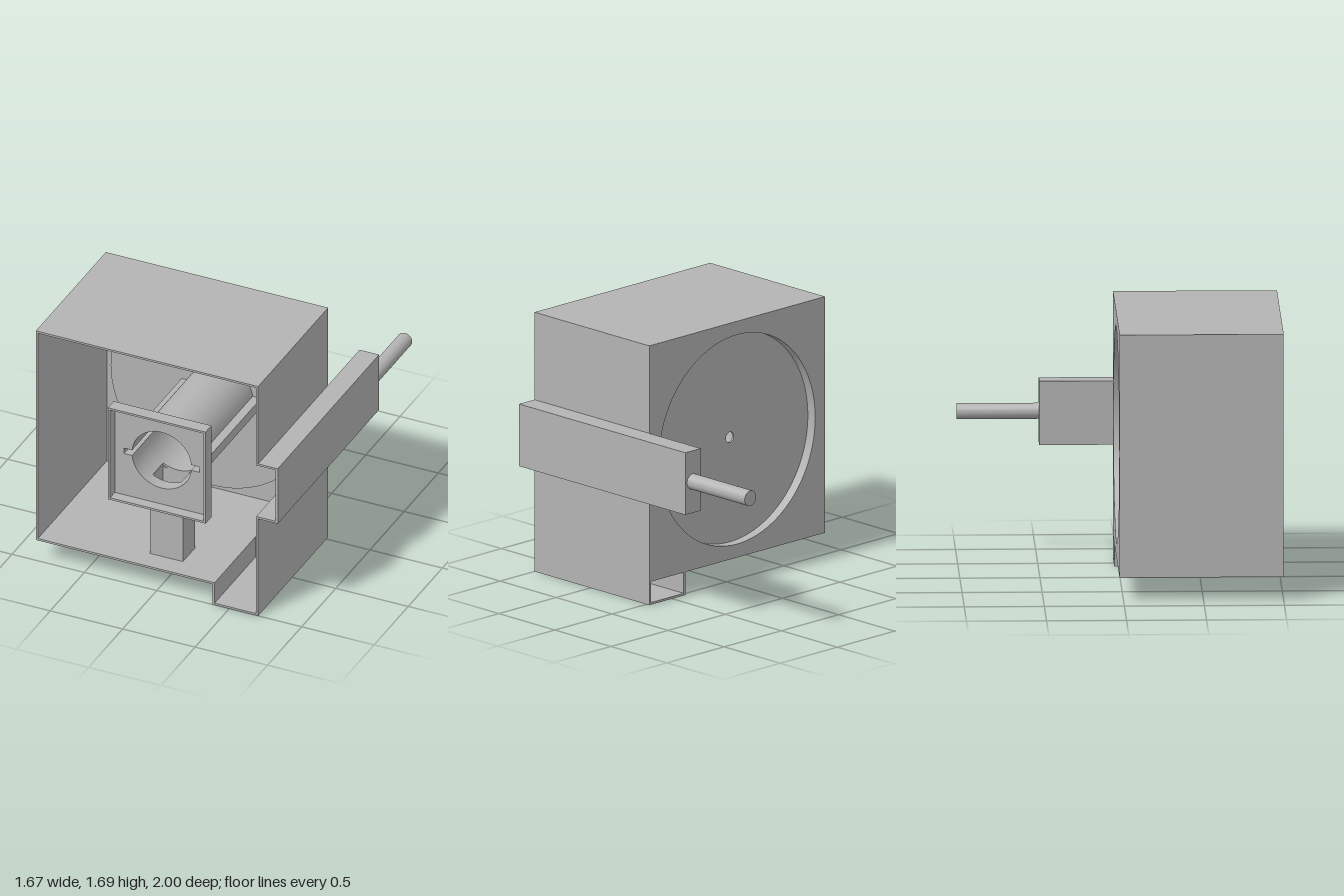
import * as THREE from 'three';
import { toCreasedNormals } from 'three/addons/utils/BufferGeometryUtils.js';

export function createModel() {
  const model = new THREE.Group();
  const grey = new THREE.MeshStandardMaterial({ color: 0xb3b3b3 });
  grey.name = 'plain grey';
  const t = 0.014; // wall thickness
  const back = -0.025, front = 1, cy = 0.92;

  const add = (name, geo) => {
    const mesh = new THREE.Mesh(geo, grey);
    mesh.name = name;
    model.add(mesh);
    return mesh;
  };
  // Extrude a section along z between z0 and z1
  const slab = (name, shape, z0, z1) => {
    const geo = new THREE.ExtrudeGeometry(shape, { depth: z1 - z0, bevelEnabled: false, curveSegments: 48 });
    geo.translate(0, 0, z0);
    return add(name, toCreasedNormals(geo, 0.5));
  };
  const box = (name, x0, x1, y0, y1, z0, z1) => {
    const geo = new THREE.BoxGeometry(x1 - x0, y1 - y0, z1 - z0);
    geo.translate((x0 + x1) / 2, (y0 + y1) / 2, (z0 + z1) / 2);
    return add(name, geo);
  };
  const poly = (pts) => new THREE.Shape(pts.map(([x, y]) => new THREE.Vector2(x, y)));
  const rect = (x0, x1, y0, y1) => poly([[x0, y0], [x1, y0], [x1, y1], [x0, y1]]);
  const circle = (x, y, r) => new THREE.Shape().absarc(x, y, r, 0, Math.PI * 2, false);
  const cut = (shape, hole) => { shape.holes.push(hole); return shape; };

  // Outer casing with the side channel and the corner foot in one section
  slab('casing', poly([
    [0.385, 0], [0.7, 0], [0.7, 0.715], [0.835, 0.715], [0.835, 1.12], [0.7, 1.12], [0.7, 1.69],
    [-0.835, 1.69], [-0.835, 0.15], [-0.835 + t, 0.15], [-0.835 + t, 1.69 - t], [0.7 - t, 1.69 - t],
    [0.7 - t, 1.12 - t], [0.835 - t, 1.12 - t], [0.835 - t, 0.715 + t], [0.7 - t, 0.715 + t],
    [0.7 - t, t], [0.385 + t, t], [0.385 + t, 0.15 + t], [0.385, 0.15 + t],
  ]), back, front);

  // Floor with the square opening beneath the column (section drawn in x and -z)
  const floor = slab('floor', cut(rect(-0.835 + t, 0.385, -front, -back), rect(-0.1, 0.1, -0.846, -0.694)), 0, t);
  floor.rotation.x = -Math.PI / 2;
  floor.position.y = 0.15;

  // Rear part of the foot: roof and partition
  box('footRoof', 0.385 + t, 0.7 - t, 0.15, 0.15 + t, back, 0.4);
  box('footPartition', 0.385 + t, 0.7 - t, t, 0.15, 0.4 - t, 0.4);

  // Back wall, pressed inwards as a large shallow disc
  const dx = -0.067, discZ = 0.04;
  slab('backWall', cut(rect(-0.835 + t, 0.7 - t, 0.15 + t, 1.69 - t), circle(dx, cy, 0.682)), back, back + t);
  slab('recessRim', cut(circle(dx, cy, 0.697), circle(dx, cy, 0.682)), back, discZ);
  slab('recessDisc', cut(circle(dx, cy, 0.697), circle(dx, cy, 0.034)), discZ, discZ + t);

  // Side arm behind the casing, with its rod
  box('armJoint', 0.7 - t, 0.725, 0.715 + t, 1.12 - t, back, back + t);
  slab('arm', cut(rect(0.7, 0.835, 0.715, 1.12), rect(0.725, 0.835 - t, 0.715 + t, 1.12 - t)), -0.485, back);
  slab('armEnd', cut(rect(0.725, 0.835 - t, 0.715 + t, 1.12 - t), circle(0.77, cy, 0.034)), -0.485, -0.485 + t);
  slab('rod', cut(circle(0.77, cy, 0.05), circle(0.77, cy, 0.034)), -0.986, -0.485);
  slab('rodTip', circle(0.77, cy, 0.05), -1, -0.986);

  // Circle with a small key on each side, starting and ending at the bottom
  const keyed = (r, keyX, keyH, gap) => {
    const k = Math.asin(keyH / r), pts = [];
    const arc = (a, b, n) => {
      for (let i = 0; i <= n; i++) {
        const q = a + (b - a) * i / n;
        pts.push([r * Math.cos(q), cy + r * Math.sin(q)]);
      }
    };
    arc(-Math.PI / 2 + gap, -k, 16);
    pts.push([keyX, cy - keyH], [keyX, cy + keyH]);
    arc(k, Math.PI - k, 32);
    pts.push([-keyX, cy + keyH], [-keyX, cy - keyH]);
    arc(Math.PI + k, Math.PI * 1.5 - gap, 16);
    return pts;
  };
  const tubeSection = (gap) => poly([
    ...keyed(0.205 + t, 0.26 + t, 0.02 + t, gap),
    ...keyed(0.205, 0.26, 0.02, gap).reverse(),
  ]);

  // Central tube, open underneath where the column joins it
  const gap = Math.asin(0.1 / 0.205);
  slab('tubeRear', tubeSection(0), discZ + t, 0.694);
  slab('tubeMiddle', tubeSection(gap), 0.694, 0.846);
  slab('tubeFront', tubeSection(0), 0.846, 0.915);

  // Square tray at the mouth of the tube
  const s = 0.337;
  const tray = (h) => rect(-h, h, cy - h, cy + h);
  slab('trayPlate', cut(tray(s - t), poly(keyed(0.205, 0.26, 0.02, 0).slice(0, -1))), 0.915, 0.915 + t);
  slab('trayRim', cut(tray(s), tray(s - t)), 0.915, front);

  // Hollow column between the floor and the tube
  for (const side of [-1, 1]) {
    const x = side * 0.107, z = 0.77 + side * 0.083;
    box('columnSide', x - 0.007, x + 0.007, 0.15 + t, 0.735, 0.68, 0.86);
    box('columnFace', -0.1, 0.1, 0.15 + t, 0.712, z - 0.007, z + 0.007);
  }
  return model;
}
